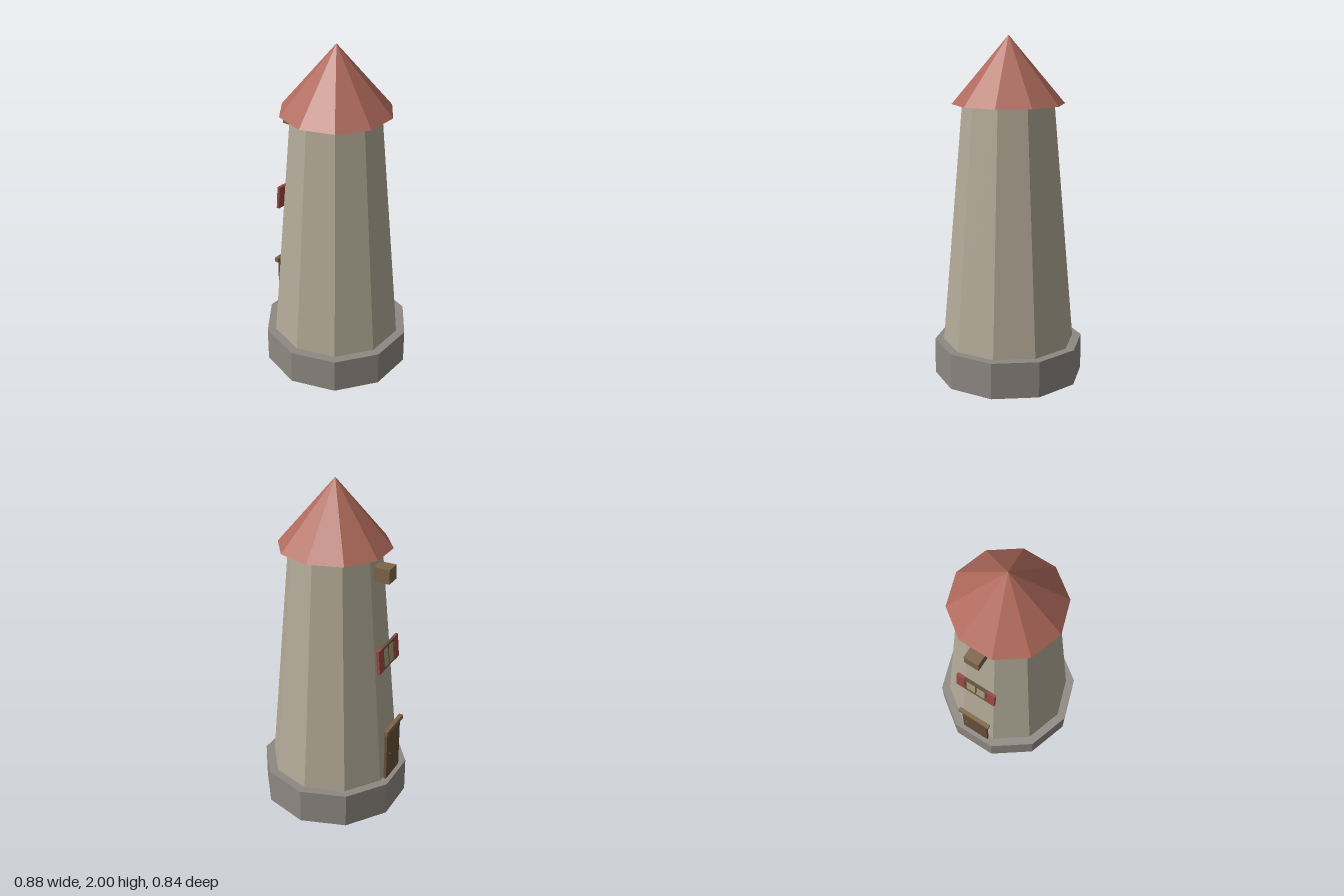
import * as THREE from 'three';

const material = (color) => new THREE.MeshStandardMaterial({ color, flatShading: true });

export function createModel() {
  const stone = material(0x8f8882), plaster = material(0xb3aa97), tile = material(0xb06a5c);
  const wood = material(0x7d6448), darkWood = material(0x665039);
  const paint = material(0x9a4a45), pane = material(0xa89c7c);
  const model = new THREE.Group();
  model.name = 'tower';

  const add = (parent, name, geometry, mat, x, y, z) => {
    const mesh = new THREE.Mesh(geometry, mat);
    mesh.name = name;
    mesh.position.set(x, y, z);
    parent.add(mesh);
    return mesh;
  };
  const box = (parent, name, mat, [w, h, d], x, y, z) =>
    add(parent, name, new THREE.BoxGeometry(w, h, d), mat, x, y, z);

  // Ten-sided body, with corners on the x axis and flat sides front and back
  const ring = (name, mat, top, bottom, y0, y1) =>
    add(model, name, new THREE.CylinderGeometry(top, bottom, y1 - y0, 10, 1, false, Math.PI / 10),
      mat, 0, (y0 + y1) / 2, 0);
  ring('base', stone, 0.441, 0.441, 0, 0.212);
  ring('wall', plaster, 0.265, 0.388, 0.212, 1.617);
  ring('roof', tile, 0, 0.325, 1.615, 2);

  // Door on the back
  const door = new THREE.Group();
  door.name = 'door';
  model.add(door);
  box(door, 'doorPanel', darkWood, [0.18, 0.325, 0.016], 0, 0.372, -0.384);
  box(door, 'lintel', wood, [0.22, 0.026, 0.025], 0, 0.545, -0.389);
  add(door, 'knob', new THREE.IcosahedronGeometry(0.007, 0), darkWood, 0.055, 0.376, -0.398);

  // Window leaning with the wall; its local +z faces outwards
  const win = new THREE.Group();
  win.name = 'window';
  win.position.set(0, 1.012, -0.338);
  win.rotation.order = 'YXZ';
  win.rotation.set(-0.085, Math.PI, 0);
  model.add(win);
  box(win, 'pane', pane, [0.14, 0.12, 0.008], 0, 0, 0);
  for (const s of [-1, 1]) {
    box(win, 'rail', darkWood, [0.146, 0.01, 0.018], 0, s * 0.063, 0);
    box(win, 'stile', darkWood, [0.01, 0.122, 0.016], s * 0.068, 0, 0);
    box(win, 'shutter', paint, [0.054, 0.143, 0.017], s * 0.102, 0, 0);
  }
  box(win, 'mullion', darkWood, [0.008, 0.122, 0.014], 0, 0, 0);

  // Beam end sticking out under the roof
  box(model, 'beam', wood, [0.09, 0.085, 0.105], 0, 1.506, -0.302);

  return model;
}
